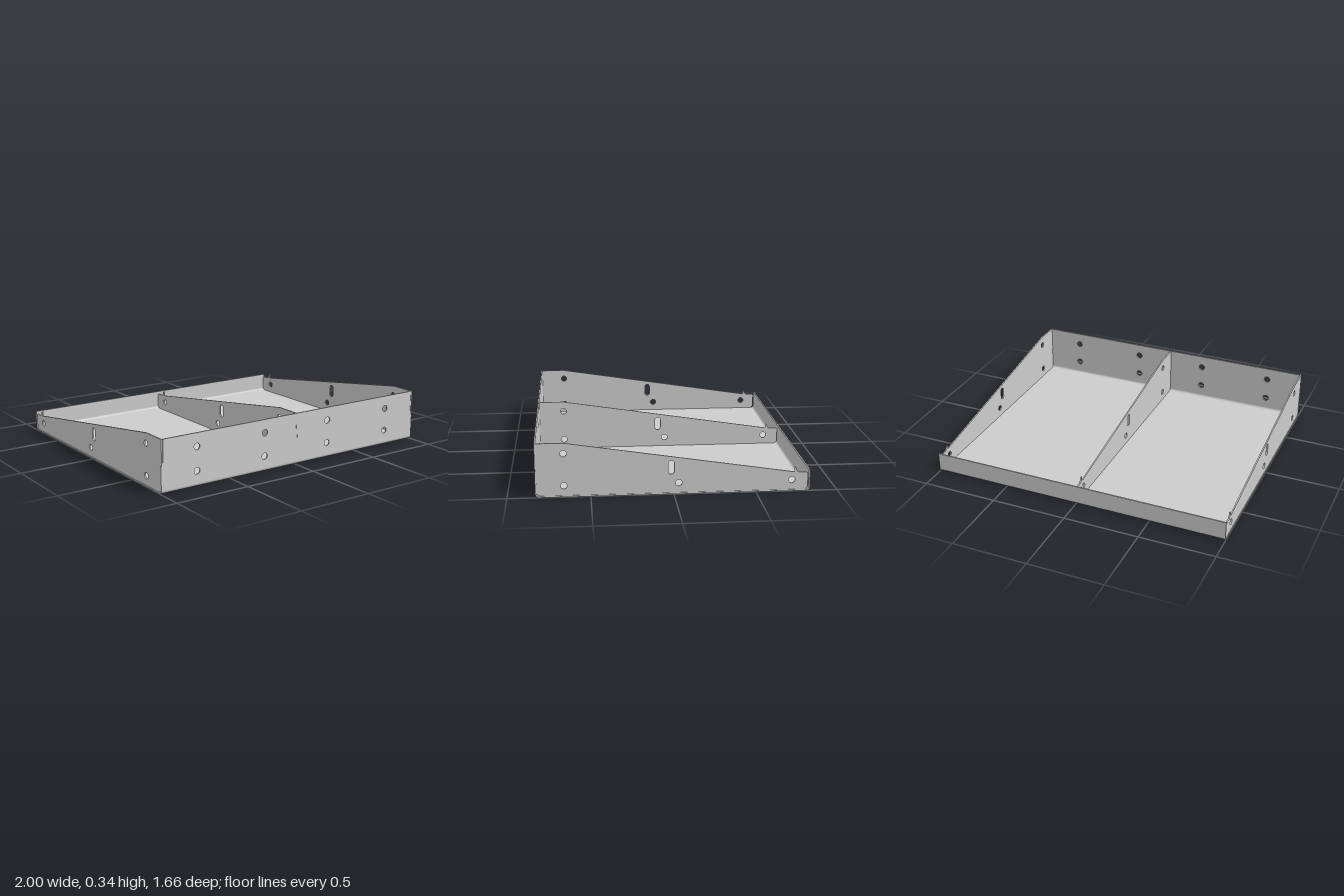
import * as THREE from 'three';

const T = 0.009;      // sheet thickness
const D = 0.832;      // half depth
const H = 0.335;      // front height
const LAP = 0.17;     // height where the half-lap slots end
const R = 0.024;      // outer bend radius
const grey = new THREE.MeshStandardMaterial({ color: 0xcccccc });

function outline(points) {
  return new THREE.Shape(points.map(([x, y]) => new THREE.Vector2(x, y)));
}

function addHole(shape, x, y, r = 0.021) {
  shape.holes.push(new THREE.Path().absarc(x, y, r, 0, Math.PI * 2, true));
}

function extrude(shape, depth) {
  const g = new THREE.ExtrudeGeometry(shape, { depth, bevelEnabled: false, curveSegments: 12 });
  return g.translate(0, 0, -depth / 2);
}

// Turns a (z, y) profile into a solid running along x
function extrudeAlongX(shape, width) {
  return extrude(shape, width).rotateY(-Math.PI / 2);
}

function part(name, geometry, parent) {
  const mesh = new THREE.Mesh(geometry, grey);
  mesh.name = name;
  parent.add(mesh);
  return mesh;
}

// Floor sheet with both bends and the upturned rear lip
function basePan() {
  const s = new THREE.Shape();
  const c = D - R;
  s.moveTo(-D, 0.133);
  s.lineTo(-D, R);
  s.absarc(-c, R, R, Math.PI, Math.PI * 1.5, false);
  s.lineTo(c, 0);
  s.absarc(c, R, R, -Math.PI / 2, 0, false);
  s.lineTo(D - T, R);
  s.absarc(c, R, R - T, 0, -Math.PI / 2, true);
  s.lineTo(-c, T);
  s.absarc(-c, R, R - T, Math.PI * 1.5, Math.PI, true);
  s.lineTo(-D + T, 0.133);
  s.closePath();
  return extrudeAlongX(s, 2);
}

// Front wall, notched at its ends and slotted in the middle for the ribs
function frontWall() {
  const e = 0.985, m = 0.005;
  const s = outline([
    [-1, R], [1, R], [1, LAP], [e, LAP], [e, H], [m, H], [m, LAP],
    [-m, LAP], [-m, H], [-e, H], [-e, LAP], [-1, LAP],
  ]);
  for (const x of [-0.75, -0.25, 0.25, 0.75])
    for (const y of [0.1, 0.25]) addHole(s, x, y);
  return extrude(s, T).translate(0, 0, D - T / 2);
}

// Tapered rib with hook, round holes and an upright slot
function ribPlate() {
  const front = D - T, back = -0.818;
  const s = outline([
    [back + 0.016, T], [front - 0.015, T], [front, R], [front, LAP], [D, LAP],
    [D, H], [0.66, H], [-0.735, 0.12], [-0.735, 0.15], [-0.742, 0.149],
    [-0.748, 0.132], [-0.762, 0.117], [-0.812, 0.116], [back, 0.11], [back, R],
  ]);
  for (const [z, y] of [[0.66, 0.27], [0.66, 0.07], [-0.03, 0.07], [-0.72, 0.07]])
    addHole(s, z, y, 0.02);
  const slot = new THREE.Path();
  slot.absarc(0.016, 0.193, 0.018, 0, Math.PI, false);
  slot.absarc(0.016, 0.143, 0.018, Math.PI, Math.PI * 2, false);
  slot.closePath();
  s.holes.push(slot);
  return extrudeAlongX(s, T);
}

export function createModel() {
  const model = new THREE.Group();
  model.name = 'tray';
  part('basePan', basePan(), model);
  part('frontWall', frontWall(), model);
  const rib = ribPlate();
  for (const [name, x] of [['rightSide', -0.992], ['centreDivider', 0], ['leftSide', 0.992]])
    part(name, rib, model).position.x = x;
  return model;
}
